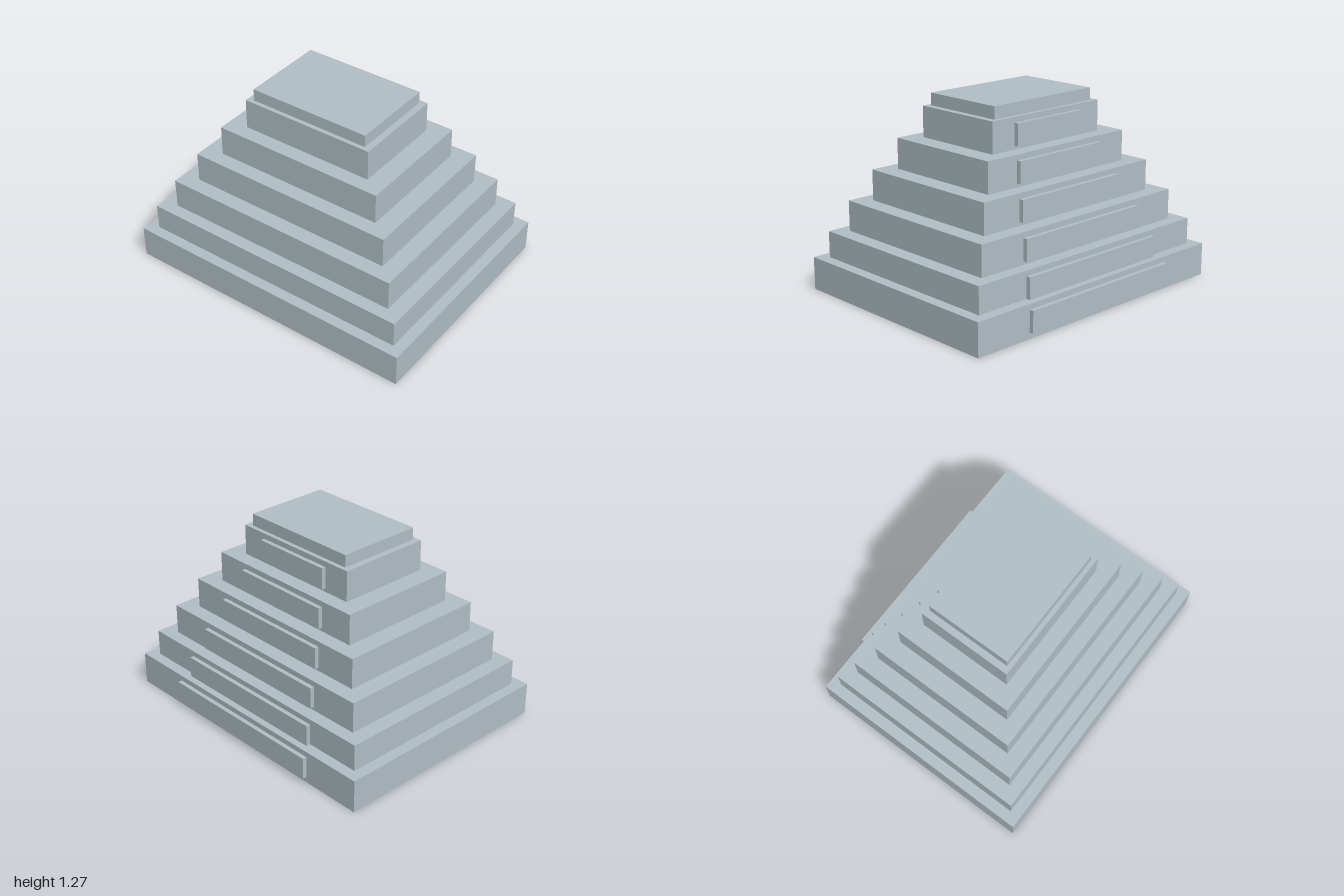
import * as THREE from 'three';

// Stepped tiers: [half width, bottom, top, half depth]
const TIERS = [
  [1.0, 0, 0.215, 0.772],
  [0.927, 0.215, 0.388, 0.7],
  [0.826, 0.388, 0.587, 0.615],
  [0.711, 0.587, 0.787, 0.513],
  [0.585, 0.787, 0.987, 0.413],
  [0.457, 0.987, 1.187, 0.314],
  [0.414, 1.187, 1.267, 0.286],
];

// Raised rear panels, one per tier below the cap: [half width, bottom]
const PANELS = [
  [0.598, 0.039], [0.553, 0.212], [0.495, 0.41],
  [0.427, 0.61], [0.35, 0.81], [0.275, 1.01],
];

const CENTRE_Z = 0.0145;
const PANEL_HEIGHT = 0.141;
const PANEL_DEPTH = 0.028;

export function createModel() {
  const model = new THREE.Group();
  model.name = 'steppedPyramid';
  const stone = new THREE.MeshStandardMaterial({ color: 0xb0bec5 });
  stone.name = 'blue grey stone';

  function block(name, width, height, depth, y, z) {
    const mesh = new THREE.Mesh(new THREE.BoxGeometry(width, height, depth), stone);
    mesh.name = name;
    mesh.position.set(0, y + height / 2, z);
    model.add(mesh);
  }

  // Stacked tiers, finished with the thin cap slab
  TIERS.forEach(([halfWidth, bottom, top, halfDepth], i) => {
    const name = i === TIERS.length - 1 ? 'capSlab' : `tier${i + 1}`;
    block(name, halfWidth * 2, top - bottom, halfDepth * 2, bottom, CENTRE_Z);
  });

  // Long panels standing proud of each tier's back face
  PANELS.forEach(([halfWidth, bottom], i) => {
    const backZ = CENTRE_Z - TIERS[i][3];
    block(`rearPanel${i + 1}`, halfWidth * 2, PANEL_HEIGHT, PANEL_DEPTH, bottom, backZ - PANEL_DEPTH / 2);
  });

  return model;
}
